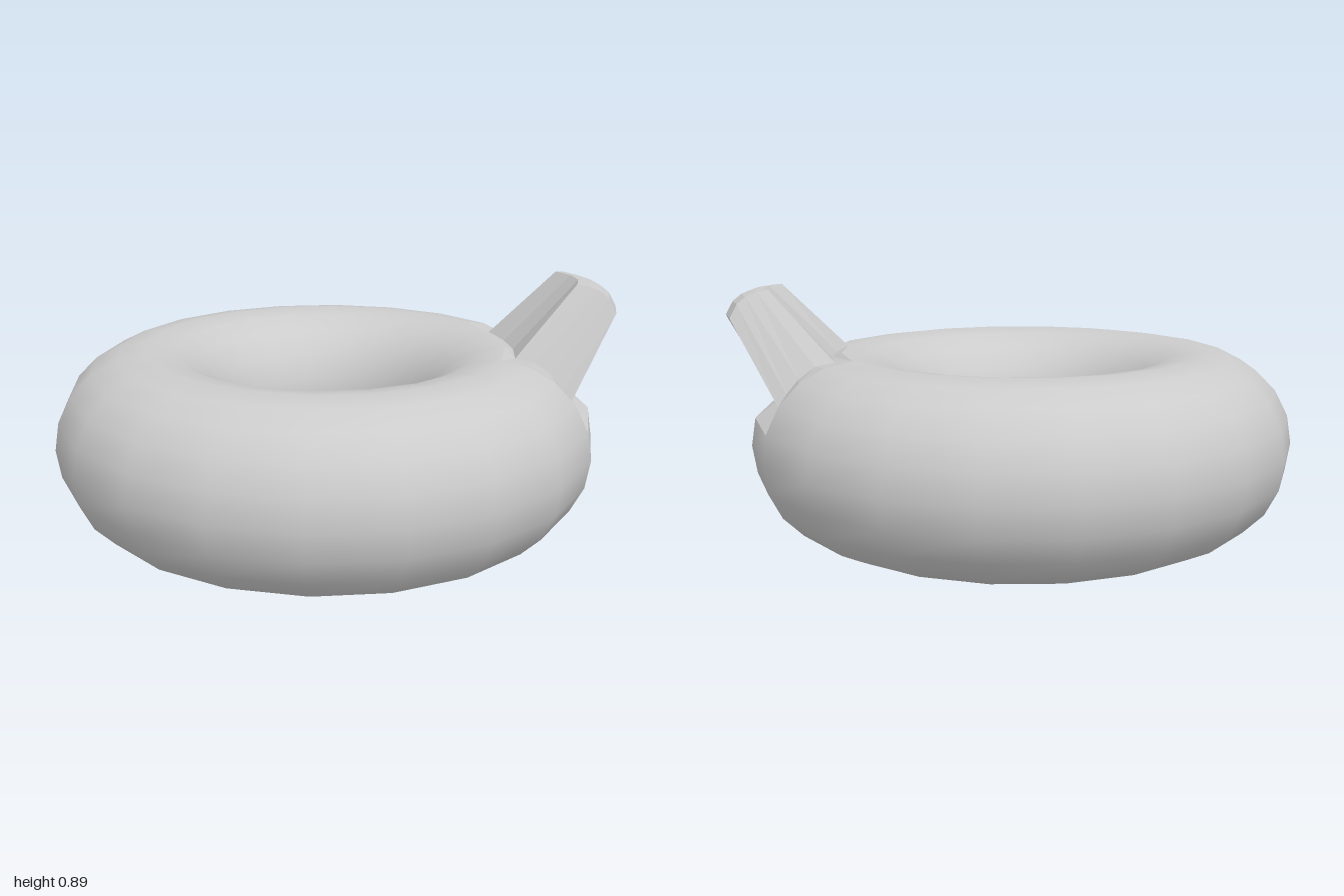
import * as THREE from 'three';

const R = 0.661, r = 0.33, SEG = 20;
const COLS = 3, ROWS = 4; // segments of the spout: around the ring, and across the tube

// Each level: angle range (degrees) at the inner and outer edge, and a radius/height profile from inner to outer
const arc = (k) => {
  const a = ((90 - 18 * k) * Math.PI) / 180;
  return [R + r * Math.cos(a), r + r * Math.sin(a)];
};
const levels = [
  { inner: [0, 54], outer: [0, 54], bulge: 0, profile: [0, 1, 2, 3, 4].map(arc) },
  { inner: [10, 44], outer: [8, 46], bulge: 0,
    profile: [[0.695, 0.64], [0.765, 0.63], [0.825, 0.59], [0.87, 0.54], [0.895, 0.485]] },
  { inner: [18.5, 35], outer: [16, 38], bulge: 0.025,
    profile: [[0.91, 0.89], [0.95, 0.885], [0.99, 0.87], [1.02, 0.845], [1.046, 0.797]] },
];

function point(level, i, j) {
  const { inner, outer, bulge, profile } = levels[level];
  const t = j / ROWS, mix = THREE.MathUtils.lerp;
  const deg = mix(mix(inner[0], outer[0], t), mix(inner[1], outer[1], t), i / COLS);
  const a = THREE.MathUtils.degToRad(deg);
  const radius = profile[j][0] * (i > 0 && i < COLS ? 1 + bulge : 1);
  return [radius * Math.cos(a), profile[j][1], radius * Math.sin(a)];
}

// Ring with an opening where the spout grows out of it
function ringGeometry() {
  const g = new THREE.TorusGeometry(R, r, SEG, SEG);
  const kept = Array.from(g.index.array).filter((_, n) => {
    const quad = Math.floor(n / 6);
    const v = Math.floor(quad / SEG), u = quad % SEG;
    return !(v >= 15 && v < 15 + ROWS && u < COLS);
  });
  g.setIndex(kept);
  return g.rotateX(Math.PI / 2).translate(0, r, 0);
}

// Faceted strips between two levels
function stripGeometry(pairs, cap) {
  const pos = [];
  const quad = (a, b, c, d) => pos.push(...a, ...b, ...c, ...a, ...c, ...d);

  // Walk around the border of the patch
  const border = [];
  for (let i = 0; i < COLS; i++) border.push([i, 0]);
  for (let j = 0; j < ROWS; j++) border.push([COLS, j]);
  for (let i = COLS; i > 0; i--) border.push([i, ROWS]);
  for (let j = ROWS; j > 0; j--) border.push([0, j]);

  for (const [lo, hi] of pairs) {
    border.forEach((a, n) => {
      const b = border[(n + 1) % border.length];
      quad(point(lo, ...a), point(lo, ...b), point(hi, ...b), point(hi, ...a));
    });
  }
  if (cap) {
    for (let i = 0; i < COLS; i++) {
      for (let j = 0; j < ROWS; j++) {
        quad(point(2, i, j), point(2, i + 1, j), point(2, i + 1, j + 1), point(2, i, j + 1));
      }
    }
  }
  const g = new THREE.BufferGeometry();
  g.setAttribute('position', new THREE.Float32BufferAttribute(pos, 3));
  g.computeVertexNormals();
  return g;
}

export function createModel() {
  const group = new THREE.Group();
  group.name = 'ringWithSpout';
  const smooth = new THREE.MeshStandardMaterial({ color: 0xcccccc });
  const flat = new THREE.MeshStandardMaterial({ color: 0xcccccc, flatShading: true });
  const add = (name, geometry, material) => {
    const mesh = new THREE.Mesh(geometry, material);
    mesh.name = name;
    mesh.position.x = -0.007;
    group.add(mesh);
  };
  add('ring', ringGeometry(), smooth);
  add('recessedCollar', stripGeometry([[0, 1]], false), flat);
  add('spout', stripGeometry([[1, 2]], true), flat);
  return group;
}
